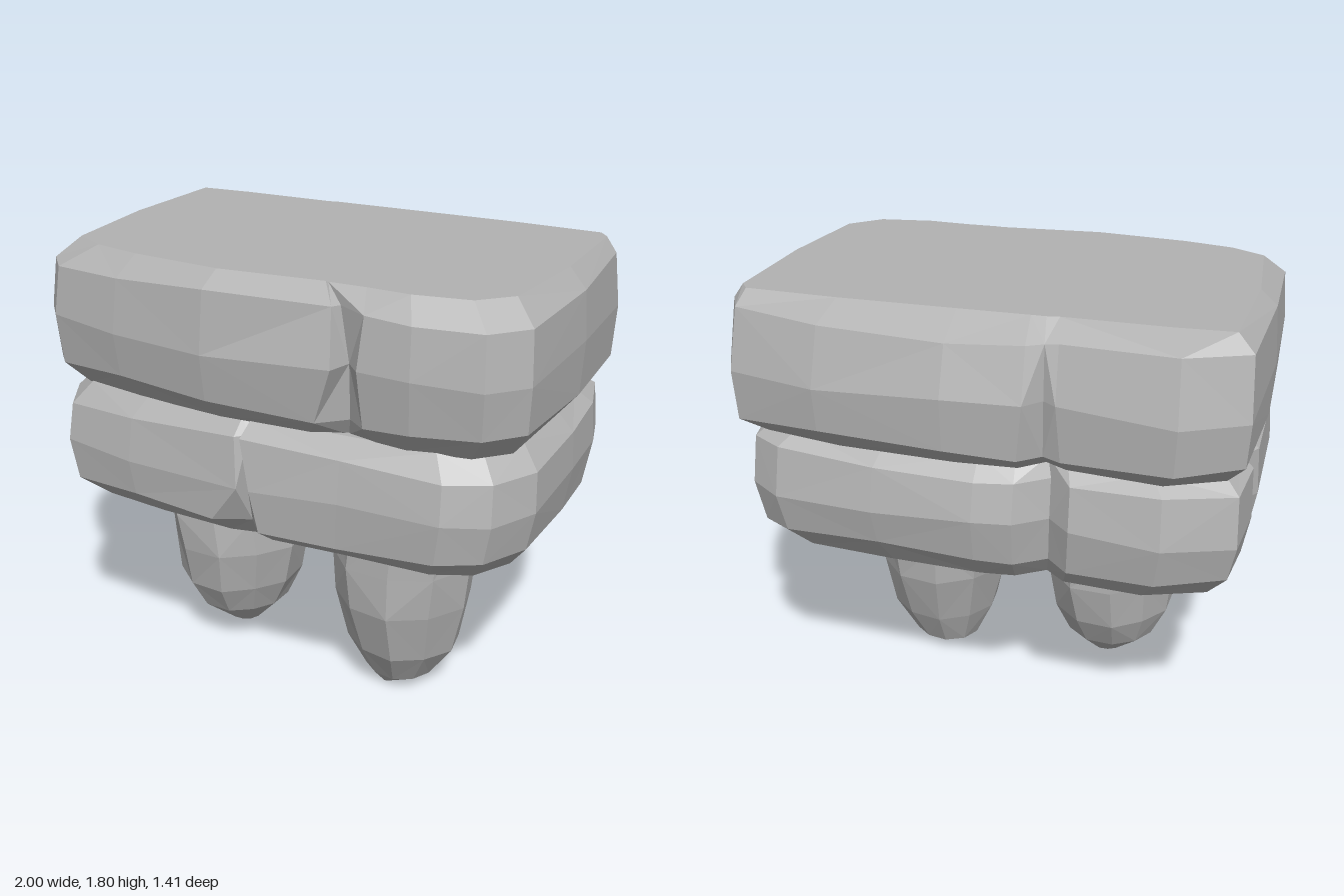
import * as THREE from 'three';

const stone = new THREE.MeshStandardMaterial({ color: 0xb2b2b2, flatShading: true });
stone.name = 'greyStone';

// Skin a stack of closed rings (bottom to top) and cap both ends
function loft(name, rings) {
  const pos = [];
  const tri = (...pts) => pts.forEach(p => pos.push(...p));
  const n = rings[0].length;
  const centre = ring => [0, 1, 2].map(k => ring.reduce((s, p) => s + p[k], 0) / n);
  const low = rings[0], high = rings[rings.length - 1];
  const cLow = centre(low), cHigh = centre(high);
  for (let i = 0; i < n; i++) {
    const j = (i + 1) % n;
    for (let r = 0; r < rings.length - 1; r++) {
      const a = rings[r][i], b = rings[r][j], c = rings[r + 1][j], d = rings[r + 1][i];
      if ((i + r) % 2) tri(a, b, c, a, c, d);
      else tri(a, b, d, b, c, d);
    }
    tri(cHigh, high[i], high[j]);
    tri(cLow, low[j], low[i]);
  }
  const geo = new THREE.BufferGeometry();
  geo.setAttribute('position', new THREE.Float32BufferAttribute(pos, 3));
  geo.computeVertexNormals();
  const mesh = new THREE.Mesh(geo, stone);
  mesh.name = name;
  return mesh;
}

// Outline points are [x, z, optional x shifts, optional z shifts], shifts given per layer;
// layers are [y, side inset, front inset, back inset], inner layers wave slightly
const still = [0, 0, 0, 0, 0];
function slab(name, outline, layers) {
  return loft(name, layers.map(([y, side, front, back], r) =>
    outline.map(([x, z, dx = still, dz = still]) => [
      x * (1 - side) + dx[r],
      y + (r > 0 && r < layers.length - 1 ? 0.015 * Math.sin(4 * x + 3 * z + 2 * r) : 0),
      z * (1 - (z > 0 ? front : back) / 0.68) + dz[r],
    ])));
}

// Rows are [y, centre x, centre z, radius x, radius z]; skew widens one diagonal
function leg(name, sides, skew, rows) {
  return loft(name, rows.map(([y, cx, cz, rx, rz], r) => Array.from({ length: sides }, (_, i) => {
    const a = (i + 0.25) / sides * Math.PI * 2;
    const k = 1 + 0.03 * Math.sin(i * 2.4 + r) - skew * Math.sin(2 * a);
    return [cx + rx * k * Math.sin(a), y, cz + rz * k * Math.cos(a)];
  })));
}

export function createModel() {
  const model = new THREE.Group();
  model.name = 'stoneBlocks';

  // Upper slab, cracked at the front right and the back left
  model.add(slab('upperSlab', [
    [-0.98, 0.52, [0, 0, 0, 0, 0.02]], [-0.9, 0.61, [0, 0, 0, 0, 0.08]], [-0.6, 0.66], [-0.2, 0.7],
    [0.24, 0.68, [-0.04, 0, 0.07, 0.05, 0.01], [0, 0, 0, -0.03, -0.02]],
    [0.34, 0.59, [0, 0, 0, -0.03, -0.07], [0.03, 0, 0, 0.02, 0.06]],
    [0.42, 0.66, [0.05, 0, -0.02, 0, 0]],
    [0.6, 0.67], [0.85, 0.63, [0, 0, 0, 0, -0.02]], [0.97, 0.5, [0, 0, 0, 0, -0.02]],
    [1, 0], [0.98, -0.5, [0, 0, 0, 0, 0.02], [0, 0, 0, 0, -0.1]],
    [0.92, -0.62, [0, 0, 0, 0, 0.04], [0, 0, 0, 0, -0.06]], [0.57, -0.69, still, [0, 0, 0, 0, -0.02]],
    [0.08, -0.71],
    [-0.21, -0.69, [0.03, 0.02, 0, 0, 0], [0, 0, 0, 0, -0.01]],
    [-0.27, -0.62, still, [0.02, 0, 0, -0.03, -0.06]],
    [-0.32, -0.65, [-0.04, -0.02, 0, 0, 0], [0, 0, 0, 0, -0.03]],
    [-0.75, -0.69], [-0.98, -0.56, still, [0, 0, 0, 0, -0.08]], [-1, 0],
  ], [
    [1.24, 0.08, 0.1, 0.12],
    [1.33, 0.01, 0.02, 0.01],
    [1.52, 0, 0, 0],
    [1.73, 0.015, 0.03, 0.06],
    [1.8, 0.08, 0.11, 0.19],
  ]));

  // Lower slab, cracked at the front, the back and the right flank
  model.add(slab('lowerSlab', [
    [-0.97, 0.45], [-0.88, 0.62], [-0.57, 0.66],
    [-0.14, 0.68, [-0.06, -0.06, 0.06, 0.04, 0.03]],
    [-0.06, 0.61, still, [0.03, 0, 0, 0.03, 0.04]],
    [-0.02, 0.69, [0.02, 0.03, 0, -0.05, -0.04]],
    [0.33, 0.67], [0.72, 0.66], [0.88, 0.58], [0.98, 0.4],
    [0.99, 0], [0.98, -0.3], [0.93, -0.51], [0.8, -0.59], [0.4, -0.62], [0, -0.63],
    [-0.15, -0.61], [-0.27, -0.52, still, [0, 0, 0, 0, -0.03]], [-0.36, -0.6],
    [-0.7, -0.62], [-0.96, -0.51], [-0.98, -0.25], [-0.91, -0.18, [-0.04, 0, 0, 0, -0.03]], [-0.98, -0.06],
  ], [
    [0.75, 0.11, 0.13, 0.12],
    [0.85, 0.03, 0.01, 0.03],
    [1.01, 0, 0, 0],
    [1.18, 0.01, 0.03, 0.04],
    [1.25, 0.08, 0.1, 0.12],
  ]));

  // Tapered legs, the left one reaching the ground
  model.add(leg('rightLeg', 10, 0.09, [
    [0.09, -0.38, 0.13, 0.06, 0.06],
    [0.19, -0.4, 0.13, 0.18, 0.17],
    [0.32, -0.4, 0.13, 0.24, 0.24],
    [0.5, -0.39, 0.13, 0.265, 0.275],
    [0.66, -0.41, 0.13, 0.265, 0.28],
    [0.8, -0.42, 0.13, 0.255, 0.27],
  ]));
  model.add(leg('leftLeg', 10, 0.02, [
    [0, 0.33, 0.2, 0.015, 0.015],
    [0.05, 0.36, 0.13, 0.14, 0.13],
    [0.2, 0.375, 0.14, 0.225, 0.21],
    [0.42, 0.37, 0.14, 0.275, 0.275],
    [0.6, 0.37, 0.135, 0.295, 0.285],
    [0.8, 0.39, 0.135, 0.28, 0.28],
  ]));

  return model;
}
